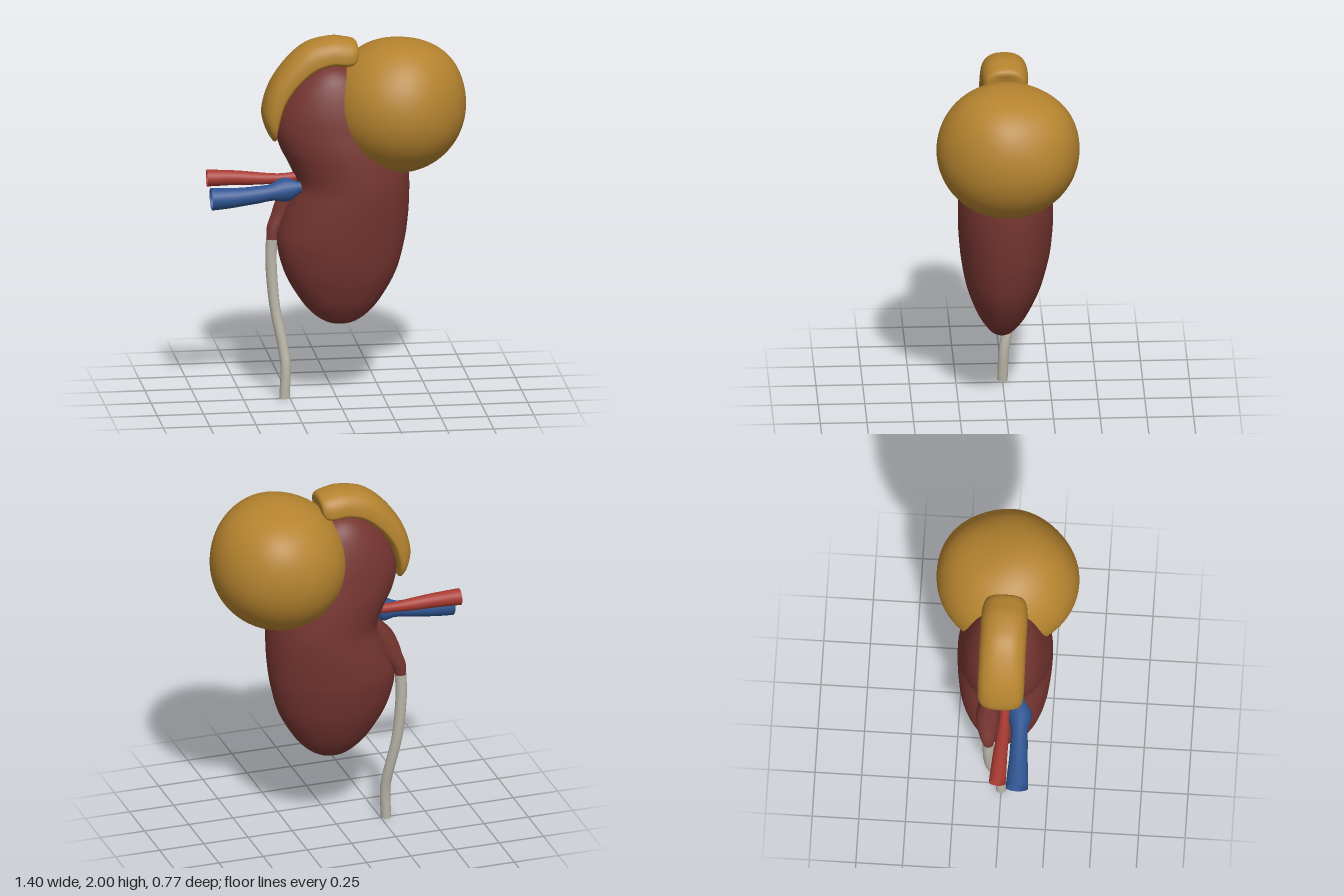
import * as THREE from 'three';
import { mergeVertices } from 'three/addons/utils/BufferGeometryUtils.js';

const V = (x, y, z) => new THREE.Vector3(x, y, z);
const mat = (name, color, side = THREE.FrontSide) => {
  const m = new THREE.MeshStandardMaterial({ color, side });
  m.name = name;
  return m;
};

// Smooth skin over closed rings of equal point count
function loft(rings) {
  const n = rings[0].length, index = [];
  for (let j = 0; j < rings.length - 1; j++) {
    for (let i = 0; i < n; i++) {
      const a = j * n + i, b = j * n + (i + 1) % n;
      index.push(a, a + n, b, b, a + n, b + n);
    }
  }
  const g = new THREE.BufferGeometry().setFromPoints(rings.flat());
  g.setIndex(index);
  g.computeVertexNormals();
  return g;
}

// Uniform spline through rows of numbers, sampled at t in 0..1
function sampleRows(rows, t) {
  const s = t * (rows.length - 1), k = Math.min(Math.floor(s), rows.length - 2), f = s - k;
  const row = i => rows[Math.max(0, Math.min(rows.length - 1, i))];
  return rows[0].map((_, c) => {
    const [p, q, r, u] = [-1, 0, 1, 2].map(d => row(k + d)[c]);
    return q + 0.5 * f * (r - p + f * (2 * p - 5 * q + 4 * r - u + f * (3 * (q - r) + u - p)));
  });
}

// Open tube whose radius follows a list along its length
function taperedTube(points, radii) {
  const path = new THREE.CatmullRomCurve3(points.map(p => V(...p)));
  const steps = 48, sides = 24;
  const g = new THREE.TubeGeometry(path, steps, 1, sides);
  const pos = g.attributes.position, v = V(0, 0, 0);
  for (let i = 0; i < pos.count; i++) {
    const t = Math.floor(i / (sides + 1)) / steps;
    const c = path.getPointAt(t);
    const r = sampleRows(radii.map(x => [x]), t)[0];
    v.fromBufferAttribute(pos, i).sub(c).multiplyScalar(r).add(c);
    pos.setXYZ(i, v.x, v.y, v.z);
  }
  return g;
}

// Bean body: height, right edge x, left edge x, half depth
function kidneyGeometry() {
  const rows = [
    [0.41, 0.02, 0.02, 0], [0.425, -0.055, 0.095, 0.05], [0.47, -0.125, 0.165, 0.09],
    [0.55, -0.195, 0.235, 0.14], [0.7, -0.28, 0.32, 0.2], [0.87, -0.32, 0.367, 0.237],
    [1.0, -0.29, 0.385, 0.25], [1.1, -0.25, 0.391, 0.255], [1.2, -0.22, 0.392, 0.255],
    [1.3, -0.255, 0.385, 0.252], [1.4, -0.305, 0.37, 0.245], [1.5, -0.33, 0.345, 0.23],
    [1.6, -0.315, 0.3, 0.213], [1.7, -0.268, 0.235, 0.185], [1.78, -0.2, 0.165, 0.15],
    [1.83, -0.135, 0.09, 0.105], [1.855, -0.07, 0.03, 0.05], [1.86, -0.02, -0.02, 0],
  ];
  const rings = [], n = 64, steps = 100;
  for (let j = 0; j <= steps; j++) {
    const [y, x0, x1, hz] = sampleRows(rows, j / steps);
    const lean = 0.02 * Math.max(0, 1 - (y - 0.41) / 0.5);
    rings.push(Array.from({ length: n }, (_, i) => {
      const a = i / n * Math.PI * 2;
      return V((x0 + x1) / 2 + (x1 - x0) / 2 * Math.cos(a), y, lean + hz * Math.sin(a));
    }));
  }
  return loft(rings);
}

// Crescent cap: inner x, y, outer x, y, half width
function capGeometry() {
  const rows = [
    [0.1, 1.91, 0.105, 1.93, 0], [0.105, 1.88, 0.112, 1.955, 0.085], [0.08, 1.85, 0.098, 1.978, 0.112],
    [0.03, 1.845, 0.05, 1.992, 0.123], [-0.03, 1.85, -0.03, 2.0, 0.125], [-0.12, 1.82, -0.16, 1.97, 0.125],
    [-0.21, 1.745, -0.27, 1.88, 0.125], [-0.275, 1.655, -0.36, 1.75, 0.125],
    [-0.305, 1.57, -0.402, 1.61, 0.122], [-0.322, 1.5, -0.385, 1.51, 0.108],
    [-0.327, 1.455, -0.35, 1.445, 0.07], [-0.335, 1.44, -0.336, 1.436, 0],
  ];
  const rings = [], n = 48, steps = 66;
  const round = (v, e) => Math.sign(v) * Math.abs(v) ** e;
  for (let j = 0; j <= steps; j++) {
    const [ix, iy, ox, oy, w] = sampleRows(rows, j / steps);
    rings.push(Array.from({ length: n }, (_, i) => {
      const a = i / n * Math.PI * 2, c = round(Math.cos(a), 0.85);
      const k = 0.25 + c * (c > 0 ? 0.75 : 0.25);
      return V(ix + (ox - ix) * k, iy + (oy - iy) * k, w * round(Math.sin(a), 0.8));
    }));
  }
  return loft(rings);
}

// Lumpy ball: each bump is a direction, a height and a sharpness
function massGeometry() {
  const bumps = [
    [V(0.3, 0.62, -0.72), 0.022, 9], [V(0.75, 0.66, 0.1), 0.012, 12], [V(0.1, 0.85, -0.3), -0.012, 12],
    [V(0.2, 0.8, 0.55), 0.01, 10], [V(0.7, -0.1, -0.7), 0.008, 10], [V(0.7, 0.1, 0.7), -0.008, 8],
  ];
  let g = new THREE.IcosahedronGeometry(1, 24);
  g.deleteAttribute('uv');
  g.deleteAttribute('normal');
  g = mergeVertices(g, 1e-4);
  const pos = g.attributes.position, v = V(0, 0, 0);
  for (let i = 0; i < pos.count; i++) {
    v.fromBufferAttribute(pos, i).normalize();
    let r = 1;
    for (const [d, h, s] of bumps) r += h / 0.37 * Math.exp(s * (v.dot(d.clone().normalize()) - 1));
    pos.setXYZ(i, 0.33 + v.x * 0.368 * r, 1.612 + v.y * 0.367 * r, v.z * 0.382 * r);
  }
  g.computeVertexNormals();
  return g;
}

export function createModel() {
  const group = new THREE.Group();
  const flesh = mat('kidney red brown', 0x753530);
  const ochre = mat('ochre', 0xb5832f);
  const red = mat('artery red', 0xa83a32, THREE.DoubleSide);
  const blue = mat('vein blue', 0x2f5592, THREE.DoubleSide);
  const grey = mat('ureter grey', 0xb8b4a8, THREE.DoubleSide);
  const add = (name, geometry, material) => {
    const m = new THREE.Mesh(geometry, material);
    m.name = name;
    group.add(m);
  };

  add('kidney', kidneyGeometry(), flesh);
  add('adrenalCap', capGeometry(), ochre);
  add('roundMass', massGeometry(), ochre);

  // Funnel leading from the hollow of the kidney into the ureter
  add('renalPelvis', taperedTube(
    [[-0.19, 1.21, -0.06], [-0.235, 1.11, -0.07], [-0.285, 1.0, -0.075], [-0.33, 0.92, -0.07], [-0.34, 0.86, -0.065]],
    [0.03, 0.06, 0.062, 0.045, 0.028]), flesh);
  add('ureter', taperedTube(
    [[-0.34, 0.87, -0.065], [-0.344, 0.75, -0.065], [-0.325, 0.5, -0.055], [-0.285, 0.28, -0.025],
      [-0.273, 0.18, -0.008], [-0.28, 0, 0]],
    [0.031, 0.03, 0.028, 0.028, 0.028]), grey);
  add('artery', taperedTube(
    [[-0.7, 1.24, 0.005], [-0.55, 1.238, 0.01], [-0.4, 1.23, 0.018], [-0.28, 1.23, 0.02], [-0.17, 1.24, 0.02]],
    [0.045, 0.04, 0.034, 0.026, 0.03]), red);
  add('vein', taperedTube(
    [[-0.69, 1.15, 0.11], [-0.55, 1.155, 0.108], [-0.4, 1.17, 0.105], [-0.28, 1.188, 0.1], [-0.205, 1.195, 0.09]],
    [0.06, 0.056, 0.05, 0.047, 0.045, 0.064, 0.03]), blue);
  return group;
}
